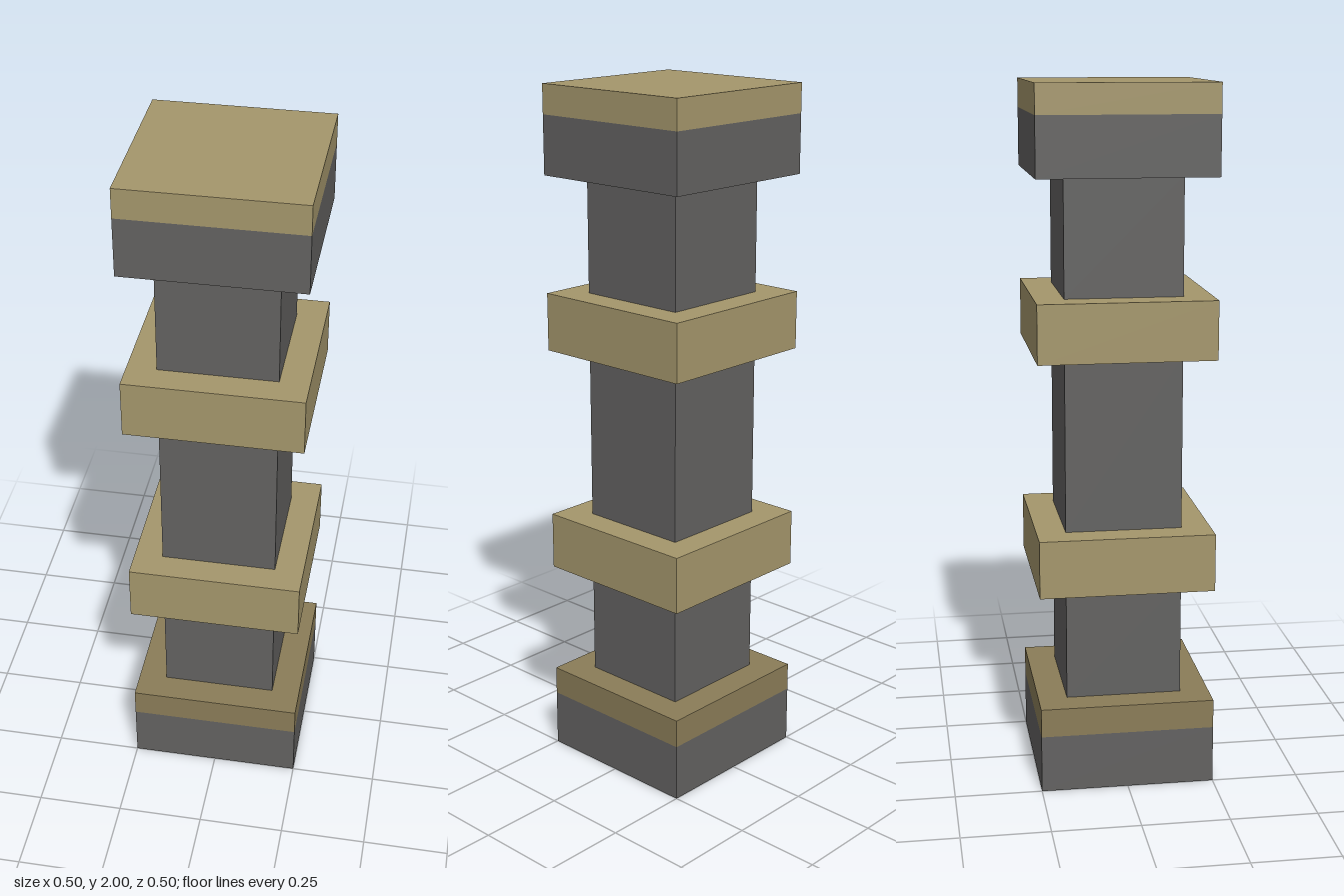
import * as THREE from 'three';

// The column is laid out on a grid of 24 steps over its height of 2 units
const STEP = 2 / 24;
const WIDE = 6 * STEP;
const NARROW = 4 * STEP;

const material = (color) => {
  const m = new THREE.MeshStandardMaterial();
  m.color.set(color);
  return m;
};

export function createModel() {
  const stone = material(0x636261);
  const gold = material(0xa5976c);
  const darkGold = material(0x8b7d58);

  // Stacked square blocks, bottom to top: name, height in steps, width, material
  const blocks = [
    ['base', 2, WIDE, stone],
    ['baseTrim', 1, WIDE, darkGold],
    ['lowerShaft', 4, NARROW, stone],
    ['lowerBand', 2, WIDE, gold],
    ['middleShaft', 6, NARROW, stone],
    ['upperBand', 2, WIDE, gold],
    ['upperShaft', 4, NARROW, stone],
    ['capital', 2, WIDE, stone],
    ['capitalTrim', 1, WIDE, gold],
  ];

  const column = new THREE.Group();
  column.name = 'column';
  let y = 0;
  for (const [name, steps, width, mat] of blocks) {
    const height = steps * STEP;
    const block = new THREE.Mesh(new THREE.BoxGeometry(width, height, width), mat);
    block.name = name;
    block.position.y = y + height / 2;
    column.add(block);
    y += height;
  }
  return column;
}
